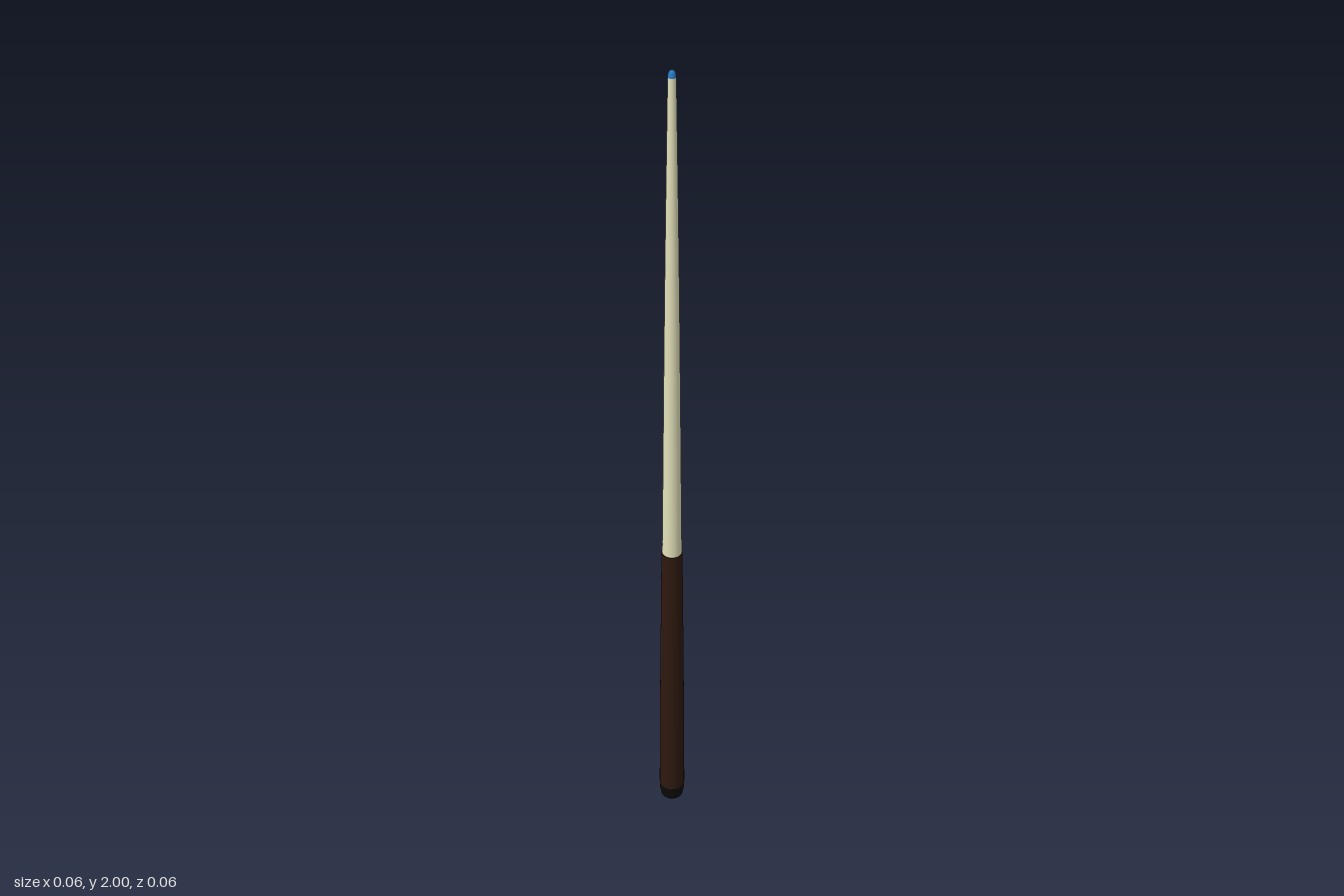
import * as THREE from 'three';

const SIDES = 32;

// Turned part from [radius, height] points listed bottom to top
function turned(name, color, points) {
  const profile = points.map(([r, y]) => new THREE.Vector2(r, y));
  const mesh = new THREE.Mesh(
    new THREE.LatheGeometry(profile, SIDES),
    new THREE.MeshStandardMaterial({ color })
  );
  mesh.name = name;
  return mesh;
}

export function createModel() {
  const cue = new THREE.Group();
  cue.name = 'cueStick';

  // Blue disc closing the butt end
  const base = turned('buttDisc', 0x1c5c9c, [[0, 0], [0.0275, 0]]);

  // Dark rubber bumper, rounded in towards the floor
  const bumper = turned('bumper', 0x0c0a09, [
    [0.0275, 0], [0.029, 0.008], [0.031, 0.02], [0.032, 0.04],
  ]);

  // Dark wooden handle with a gentle taper
  const handle = turned('handle', 0x2e190f, [
    [0.032, 0.04], [0.031, 0.2], [0.029, 0.41], [0.0265, 0.64], [0.0245, 0.81],
  ]);

  // Narrow step where the handle meets the shaft
  const joint = turned('jointRing', 0x2e190f, [[0.0245, 0.81], [0.023, 0.81]]);

  // Pale shaft
  const shaft = turned('shaft', 0xe2dfb8, [
    [0.023, 0.81], [0.0205, 1.05], [0.018, 1.29], [0.0155, 1.51],
    [0.0125, 1.73], [0.0085, 1.985],
  ]);

  // Domed chalk-blue tip
  const tip = turned('tip', 0x2878c0, [
    [0.0085, 1.985], [0.008, 1.992], [0.006, 1.997], [0.003, 1.9995], [0, 2],
  ]);

  cue.add(base, bumper, handle, joint, shaft, tip);
  return cue;
}
